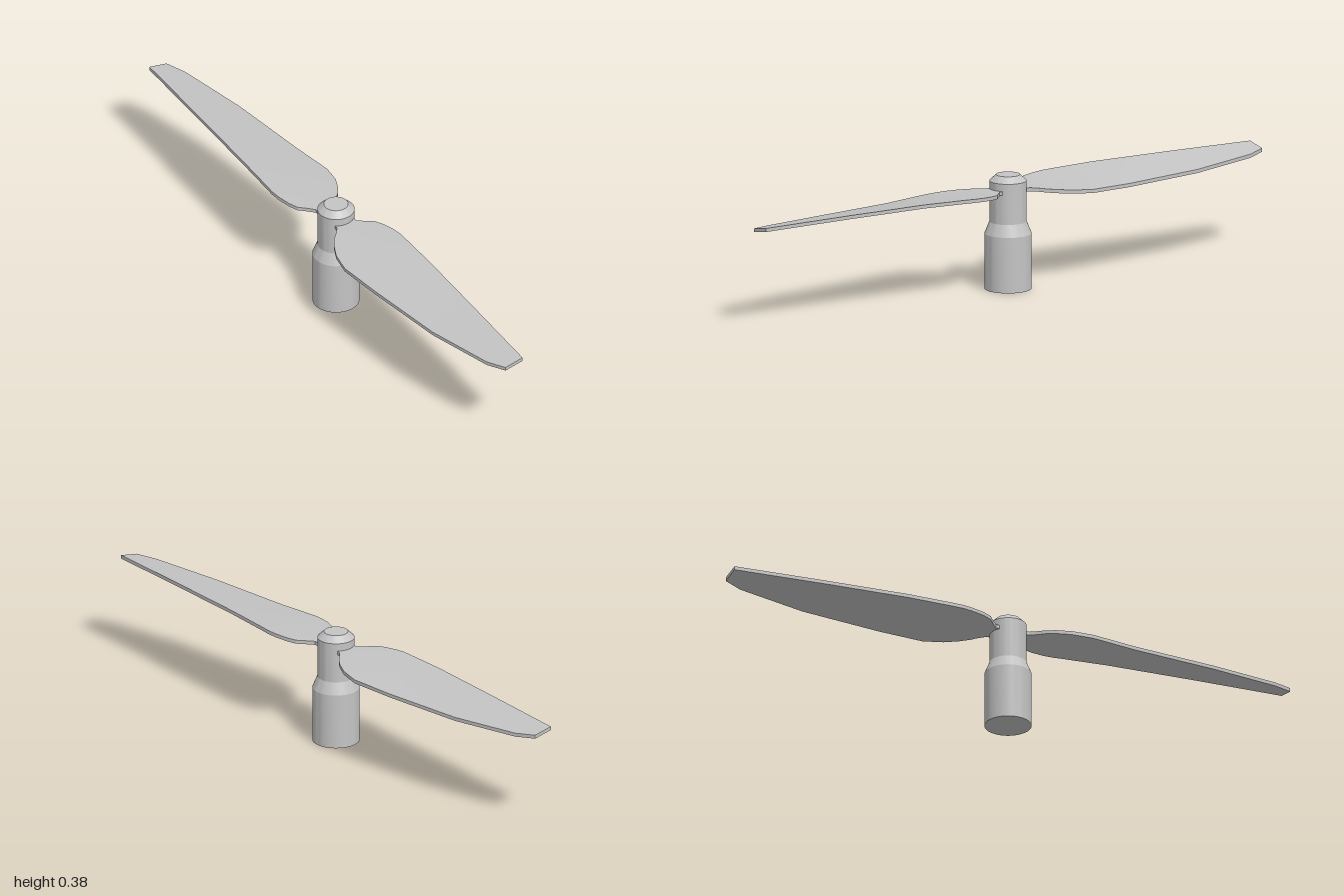
import * as THREE from 'three';
import { toCreasedNormals } from 'three/addons/utils/BufferGeometryUtils.js';

const metal = new THREE.MeshStandardMaterial({ color: 0xc4c4c4 });
metal.name = 'grey';

const BLADE_Y = 0.325, HALF_THICK = 0.006;

// Blade stations: [distance from axis, left edge x, right edge x, pitch slope]
const STATIONS = [
  [0.03, -0.034, 0.034, 0.0],
  [0.06, -0.036, 0.038, 0.02],
  [0.08, -0.052, 0.058, 0.03],
  [0.10, -0.073, 0.082, 0.045],
  [0.13, -0.094, 0.095, 0.06],
  [0.175, -0.115, 0.105, 0.08],
  [0.21, -0.122, 0.108, 0.095],
  [0.245, -0.128, 0.106, 0.11],
  [0.40, -0.113, 0.097, 0.16],
  [0.69, -0.085, 0.078, 0.185],
  [0.935, -0.037, 0.062, 0.19],
  [1.00, -0.008, 0.058, 0.19],
];

// Twisted plate lofted through the stations
function bladeGeometry() {
  const pos = [], idx = [];
  for (const [z, xl, xr, slope] of STATIONS) {
    for (const [x, side] of [[xl, 1], [xr, 1], [xr, -1], [xl, -1]]) {
      pos.push(x, BLADE_Y + slope * x + side * HALF_THICK, z);
    }
  }
  const last = (STATIONS.length - 1) * 4;
  for (let a = 0; a < last; a += 4) {
    for (let k = 0; k < 4; k++) {
      const n = (k + 1) % 4;
      idx.push(a + k, a + 4 + k, a + 4 + n, a + k, a + 4 + n, a + n);
    }
  }
  idx.push(0, 1, 2, 0, 2, 3); // root cap
  idx.push(last, last + 3, last + 2, last, last + 2, last + 1); // tip cap
  const g = new THREE.BufferGeometry();
  g.setAttribute('position', new THREE.Float32BufferAttribute(pos, 3));
  g.setIndex(idx);
  return toCreasedNormals(g, 0.4);
}

export function createModel() {
  const group = new THREE.Group();
  group.name = 'propeller';

  // Hub: wide base, tapered shoulder, narrow shaft, chamfered cap
  const profile = [[0, 0], [0.076, 0], [0.076, 0.183], [0.06, 0.222], [0.06, 0.356], [0.039, 0.376], [0, 0.376]]
    .map(([r, y]) => new THREE.Vector2(r, y));
  const hub = new THREE.Mesh(toCreasedNormals(new THREE.LatheGeometry(profile, 48), 0.3), metal);
  hub.name = 'hub';
  group.add(hub);

  // Two identical blades, half a turn apart
  const geometry = bladeGeometry();
  ['frontBlade', 'backBlade'].forEach((name, i) => {
    const blade = new THREE.Mesh(geometry, metal);
    blade.name = name;
    blade.rotation.y = i * Math.PI;
    group.add(blade);
  });
  return group;
}
